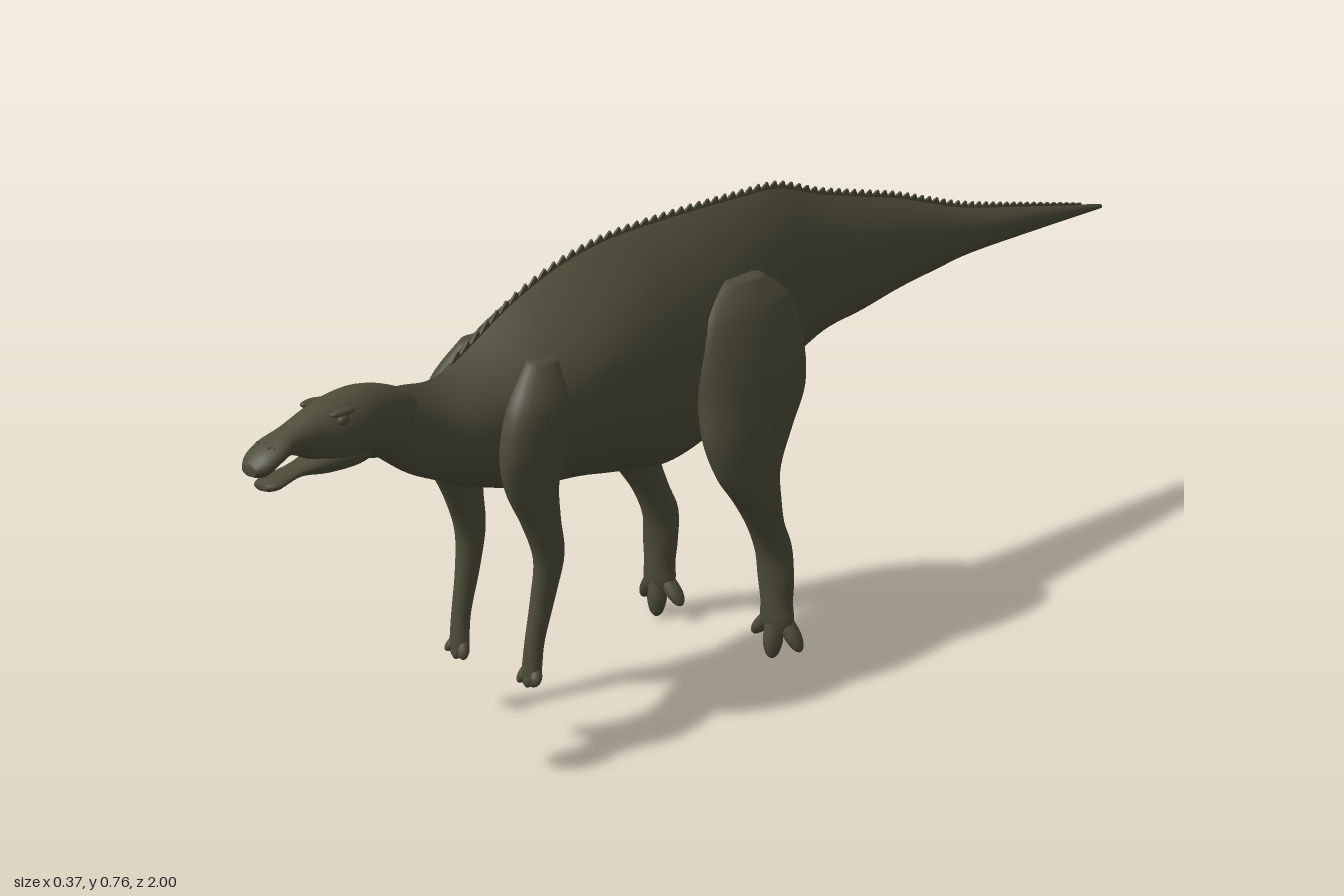
import * as THREE from 'three';

const skin = new THREE.MeshStandardMaterial({ color: 0x4d4c39 });
skin.name = 'olive skin';

// Smooths a table of cross-sections column by column
function smooth(rows, steps) {
  const at = i => rows[Math.min(rows.length - 1, Math.max(0, i))];
  const out = [];
  for (let i = 0; i < rows.length - 1; i++) {
    for (let s = 0; s < steps; s++) {
      const t = s / steps;
      out.push(rows[i].map((b, k) => {
        const a = at(i - 1)[k], c = at(i + 1)[k], d = at(i + 2)[k];
        return b + 0.5 * t * (c - a + t * (2 * a - 5 * b + 4 * c - d + t * (3 * (b - c) + d - a)));
      }));
    }
  }
  out.push(rows[rows.length - 1]);
  return out;
}

// Skins a list of rings (each a list of Vector3) and closes both ends
function skinRings(name, rings) {
  const n = rings[0].length, pos = [], index = [];
  rings.forEach(r => r.forEach(v => pos.push(v.x, v.y, v.z)));
  for (let i = 0; i < rings.length - 1; i++) {
    for (let j = 0; j < n; j++) {
      const k = (j + 1) % n, a = i * n, b = a + n;
      index.push(a + j, b + j, b + k, a + j, b + k, a + k);
    }
  }
  const last = rings.length - 1;
  [0, last].forEach(e => {
    const c = pos.length / 3;
    const mid = rings[e].reduce((m, v) => m.add(v), new THREE.Vector3()).divideScalar(n);
    pos.push(mid.x, mid.y, mid.z);
    for (let j = 0; j < n; j++) {
      const a = e * n + j, b = e * n + (j + 1) % n;
      if (e === 0) index.push(c, a, b); else index.push(c, b, a);
    }
  });
  const g = new THREE.BufferGeometry();
  g.setAttribute('position', new THREE.Float32BufferAttribute(pos, 3));
  g.setIndex(index);
  g.computeVertexNormals();
  const m = new THREE.Mesh(g, skin);
  m.name = name;
  return m;
}

// Rows run front to back: [z, top, bottom, half width]; peak above 1 makes a ridged back
function trunk(name, rows, peak = 1, sides = 40) {
  return skinRings(name, smooth(rows, 6).map(([z, top, bottom, w]) => {
    const mid = bottom + (top - bottom) * 0.52;
    return Array.from({ length: sides }, (_, j) => {
      const a = j / sides * Math.PI * 2, c = Math.cos(a), s = Math.sin(a);
      const x = s > 0 ? Math.sign(c) * Math.abs(c) ** peak : c;
      return new THREE.Vector3(w * x, mid + s * (s > 0 ? top - mid : mid - bottom), z);
    });
  }));
}

// Rows run downwards: [x, y, z, x radius, z radius]
function limb(name, rows, side, sides = 24) {
  return skinRings(name, smooth(rows, 5).map(([x, y, z, rx, rz]) =>
    Array.from({ length: sides }, (_, j) => {
      const a = j / sides * Math.PI * 2;
      return new THREE.Vector3(side * x + rx * Math.cos(a), y, z - rz * Math.sin(a));
    })));
}

const BODY = [
  [0.80, 0.608, 0.53, 0.034], [0.72, 0.602, 0.47, 0.035], [0.66, 0.597, 0.44, 0.042],
  [0.60, 0.62, 0.415, 0.07], [0.50, 0.675, 0.388, 0.113], [0.40, 0.714, 0.378, 0.13],
  [0.30, 0.735, 0.36, 0.126], [0.20, 0.742, 0.345, 0.112], [0.10, 0.745, 0.362, 0.096],
  [0.0, 0.746, 0.40, 0.076], [-0.10, 0.744, 0.435, 0.058], [-0.20, 0.715, 0.475, 0.053],
  [-0.30, 0.692, 0.49, 0.05], [-0.40, 0.67, 0.508, 0.046], [-0.50, 0.641, 0.52, 0.04],
  [-0.60, 0.614, 0.53, 0.033], [-0.80, 0.578, 0.533, 0.018], [-1, 0.542, 0.534, 0.003],
];
const SKULL = [
  [1, 0.552, 0.536, 0.015], [0.985, 0.567, 0.532, 0.029], [0.96, 0.58, 0.545, 0.032],
  [0.93, 0.592, 0.55, 0.026], [0.89, 0.607, 0.532, 0.034], [0.85, 0.617, 0.517, 0.046],
  [0.80, 0.622, 0.511, 0.046], [0.75, 0.612, 0.50, 0.038], [0.70, 0.59, 0.49, 0.028],
];
const JAW = [
  [0.982, 0.521, 0.51, 0.013], [0.965, 0.525, 0.507, 0.024], [0.92, 0.532, 0.515, 0.02],
  [0.87, 0.545, 0.508, 0.03], [0.82, 0.55, 0.508, 0.036], [0.78, 0.54, 0.515, 0.02],
];
const HIND_LEG = [
  [0.080, 0.645, 0.07, 0.02, 0.04], [0.090, 0.60, 0.075, 0.04, 0.10],
  [0.100, 0.53, 0.08, 0.053, 0.12], [0.114, 0.46, 0.085, 0.051, 0.115],
  [0.124, 0.40, 0.105, 0.045, 0.094], [0.132, 0.34, 0.112, 0.037, 0.065],
  [0.135, 0.29, 0.095, 0.034, 0.044], [0.130, 0.24, 0.07, 0.028, 0.034],
  [0.128, 0.19, 0.048, 0.027, 0.034], [0.131, 0.14, 0.045, 0.032, 0.027],
  [0.133, 0.10, 0.045, 0.029, 0.024], [0.134, 0.068, 0.045, 0.032, 0.021],
  [0.134, 0.045, 0.046, 0.024, 0.014],
];
const FORE_LEG = [
  [0.072, 0.61, 0.50, 0.02, 0.03], [0.086, 0.55, 0.52, 0.036, 0.062],
  [0.088, 0.48, 0.535, 0.036, 0.065], [0.085, 0.42, 0.54, 0.028, 0.05],
  [0.086, 0.36, 0.525, 0.022, 0.036], [0.088, 0.30, 0.512, 0.019, 0.028],
  [0.085, 0.24, 0.522, 0.017, 0.022], [0.083, 0.17, 0.54, 0.015, 0.016],
  [0.082, 0.13, 0.546, 0.017, 0.014], [0.081, 0.108, 0.548, 0.019, 0.012],
  [0.081, 0.098, 0.55, 0.014, 0.008],
];

// Saw-toothed frill standing on the spine
function spineFrill() {
  const line = smooth(BODY, 6).filter(r => r[0] < 0.64 && r[0] > -0.97);
  const topAt = z => {
    const i = Math.max(1, line.findIndex(r => r[0] <= z));
    const [a, b] = [line[i - 1], line[i]];
    return THREE.MathUtils.mapLinear(z, a[0], b[0], a[1], b[1]);
  };
  const count = 78, z0 = 0.62, pitch = 1.56 / count;
  const shape = new THREE.Shape();
  shape.moveTo(z0, topAt(z0) - 0.012);
  for (let i = 0; i < count; i++) {
    const z = z0 - i * pitch, h = 0.011 * Math.min(1, (count - i) / 25 + 0.3);
    shape.lineTo(z, topAt(z) + 0.001);
    shape.lineTo(z - pitch * 0.75, topAt(z - pitch * 0.75) + h);
  }
  for (let i = count; i > 0; i--) shape.lineTo(z0 - i * pitch, topAt(z0 - i * pitch) - 0.012);
  const g = new THREE.ExtrudeGeometry(shape, { depth: 0.004, bevelEnabled: false });
  g.translate(0, 0, -0.002).rotateY(-Math.PI / 2);
  const m = new THREE.Mesh(g, skin);
  m.name = 'spineFrill';
  return m;
}

// Tapering digit from a knuckle to a rounded tip
function digit(name, side, [x0, y0, z0], [x1, y1, z1], r) {
  const rows = [[0, 0.75], [0.3, 1], [0.6, 1.05], [0.85, 0.75], [0.96, 0.4], [1, 0.1]].map(([t, k]) =>
    [x0 + (x1 - x0) * t, y0 + (y1 - y0) * t, z0 + (z1 - z0) * t, r * k, r * k]);
  return limb(name, rows, side, 14);
}

function blob(name, x, y, z, sx, sy, sz) {
  const m = new THREE.Mesh(new THREE.SphereGeometry(1, 16, 12), skin);
  m.name = name;
  m.position.set(x, y, z);
  m.scale.set(sx, sy, sz);
  return m;
}

export function createModel() {
  const model = new THREE.Group();
  model.name = 'duckBilledDinosaur';
  model.add(trunk('bodyAndTail', BODY, 1.9), spineFrill());

  const head = new THREE.Group();
  head.name = 'head';
  head.add(trunk('skullAndBill', SKULL), trunk('lowerJaw', JAW));
  model.add(head);

  for (const side of [1, -1]) {
    const label = side > 0 ? 'left' : 'right';

    // Brow, eye and nostril
    head.add(blob(label + 'Brow', side * 0.033, 0.602, 0.855, 0.009, 0.006, 0.022));
    head.add(blob(label + 'Eye', side * 0.038, 0.592, 0.858, 0.007, 0.008, 0.01));
    const nostril = new THREE.Mesh(new THREE.TorusGeometry(0.005, 0.0018, 8, 16), skin);
    nostril.name = label + 'Nostril';
    nostril.position.set(side * 0.016, 0.571, 0.972);
    nostril.rotation.set(-0.6, side * 0.5, 0);
    head.add(nostril);

    // Hind leg with three hanging toes
    const hind = new THREE.Group();
    hind.name = label + 'HindLeg';
    hind.add(limb('leg', HIND_LEG, side));
    hind.add(digit('middleToe', side, [0.133, 0.075, 0.05], [0.132, 0, 0.055], 0.016));
    hind.add(digit('outerToe', side, [0.148, 0.075, 0.043], [0.177, 0.018, 0.038], 0.0145));
    hind.add(digit('innerToe', side, [0.118, 0.075, 0.045], [0.086, 0.028, 0.045], 0.0145));
    model.add(hind);

    // Foreleg with short fingers
    const fore = new THREE.Group();
    fore.name = label + 'ForeLeg';
    fore.add(limb('arm', FORE_LEG, side));
    [[0.064, 0.098], [0.081, 0.095], [0.1, 0.103]].forEach(([x, y]) =>
      fore.add(digit('finger', side, [0.5 * (x + 0.081), 0.128, 0.546], [x, y, 0.556], 0.009)));
    model.add(fore);
  }
  return model;
}
